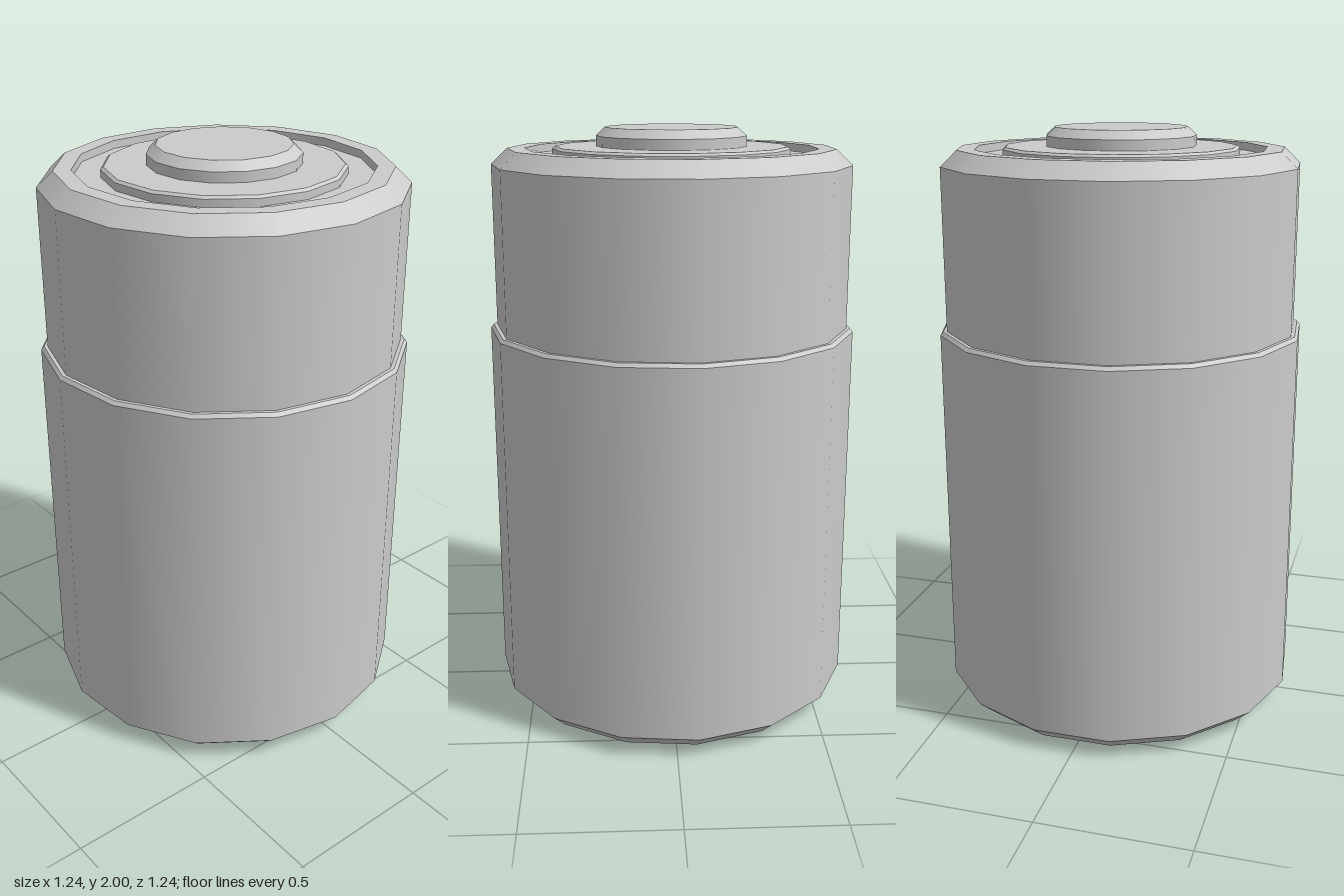
import * as THREE from 'three';
import { mergeGeometries } from 'three/addons/utils/BufferGeometryUtils.js';

const SIDES = 15;
const material = new THREE.MeshStandardMaterial({ color: 0xcccccc });

// Revolves a [radius, height] profile (bottom to top); each band is its own
// lathe, so it is smooth around the axis and sharp at the profile corners.
function turned(name, profile) {
  const bands = [];
  for (let i = 0; i < profile.length - 1; i++) {
    const pair = [profile[i], profile[i + 1]].map(([r, y]) => new THREE.Vector2(r, y));
    bands.push(new THREE.LatheGeometry(pair, SIDES, Math.PI / 2));
  }
  const mesh = new THREE.Mesh(mergeGeometries(bands), material);
  mesh.name = name;
  return mesh;
}

export function createModel() {
  const battery = new THREE.Group();
  battery.name = 'battery';

  battery.add(
    // dished negative contact, standing proud of the base groove
    turned('bottomContact', [
      [0, 0.02], [0.325, 0.02], [0.355, 0], [0.388, 0], [0.398, 0.01], [0.398, 0.045],
    ]),
    // groove floor, bottom rim and chamfer
    turned('bottomRim', [
      [0.398, 0.045], [0.51, 0.045], [0.51, 0.018], [0.57, 0.018], [0.625, 0.068],
    ]),
    // wide lower sleeve with a small bevelled shoulder
    turned('lowerSleeve', [
      [0.625, 0.068], [0.625, 1.325], [0.615, 1.337], [0.603, 1.337],
    ]),
    // narrower upper casing, chamfer, rim and groove
    turned('upperCasing', [
      [0.603, 1.337], [0.603, 1.88], [0.548, 1.932], [0.49, 1.932], [0.49, 1.905], [0.398, 1.905],
    ]),
    // raised disc around the positive terminal
    turned('topDisc', [
      [0.398, 1.905], [0.398, 1.93], [0.388, 1.938], [0.25, 1.938],
    ]),
    // positive terminal button
    turned('topButton', [
      [0.252, 1.938], [0.252, 1.972], [0.222, 2], [0, 2],
    ]),
  );

  // an odd number of sides is wider towards +x, so shift to centre it
  battery.position.x = -0.007;
  const model = new THREE.Group();
  model.add(battery);
  return model;
}
